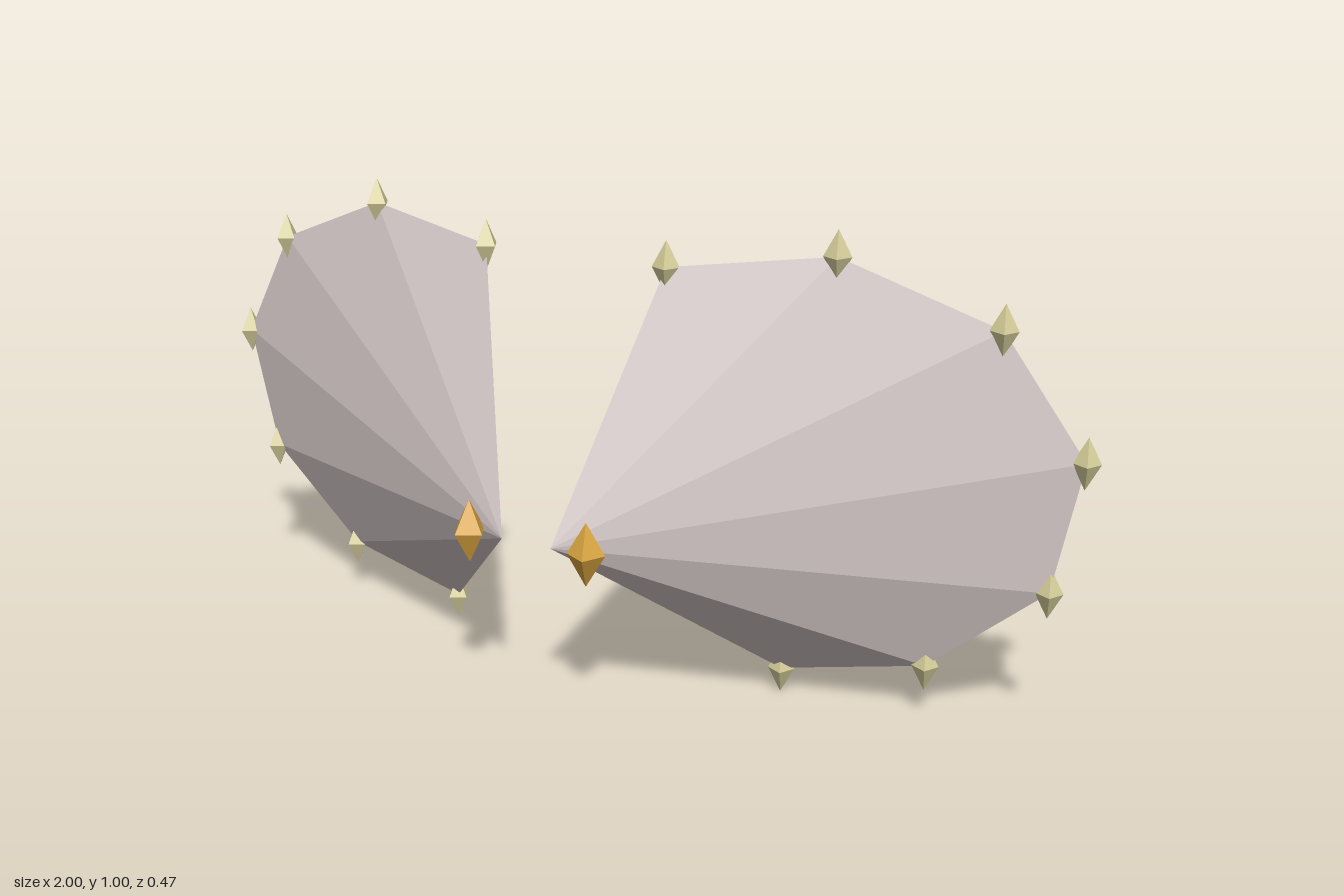
import * as THREE from 'three';

const wingMat = new THREE.MeshStandardMaterial({ color: 0xdccfcf, side: THREE.DoubleSide, flatShading: true });
wingMat.name = 'pale membrane';
const tipMat = new THREE.MeshStandardMaterial({ color: 0xd8d09c, flatShading: true });
tipMat.name = 'cream crystal';
const goldMat = new THREE.MeshStandardMaterial({ color: 0xdba640, flatShading: true });
goldMat.name = 'gold';

// Wing root and the rim points it fans out to (left side, mirrored for the right)
const root = [0.055, 0.375, 0.2];
const rim = [
  [0.2, 0.91, 0.01], [0.515, 0.95, -0.067], [0.815, 0.83, -0.143], [0.973, 0.585, -0.195],
  [0.92, 0.31, -0.208], [0.69, 0.113, -0.19], [0.394, 0.053, -0.16],
];

// Four-sided double pyramid
function crystal(name, mat, [x, y, z], radius, halfHeight, side) {
  const mesh = new THREE.Mesh(new THREE.OctahedronGeometry(1), mat);
  mesh.name = name;
  mesh.scale.set(radius, halfHeight, radius);
  mesh.position.set(x * side, y, z);
  mesh.rotation.y = side * 0.3;
  return mesh;
}

function wing(side) {
  const group = new THREE.Group();
  group.name = side > 0 ? 'leftWing' : 'rightWing';

  // Faceted fan membrane
  const flip = ([x, y, z]) => [x * side, y, z];
  const corners = [];
  for (let i = 0; i < rim.length - 1; i++) {
    const pair = side > 0 ? [rim[i + 1], rim[i]] : [rim[i], rim[i + 1]];
    corners.push(...flip(root), ...flip(pair[0]), ...flip(pair[1]));
  }
  const geo = new THREE.BufferGeometry();
  geo.setAttribute('position', new THREE.Float32BufferAttribute(corners, 3));
  geo.computeVertexNormals();
  const membrane = new THREE.Mesh(geo, wingMat);
  membrane.name = 'membrane';
  group.add(membrane);

  // Crystals on the rim and the gold one near the root
  rim.forEach((p, i) => group.add(crystal(`rimCrystal${i + 1}`, tipMat, p, 0.027, 0.052, side)));
  group.add(crystal('rootCrystal', goldMat, [0.132, 0.376, 0.197], 0.038, 0.066, side));
  return group;
}

export function createModel() {
  const model = new THREE.Group();
  model.name = 'wings';
  model.add(wing(1), wing(-1));
  return model;
}
